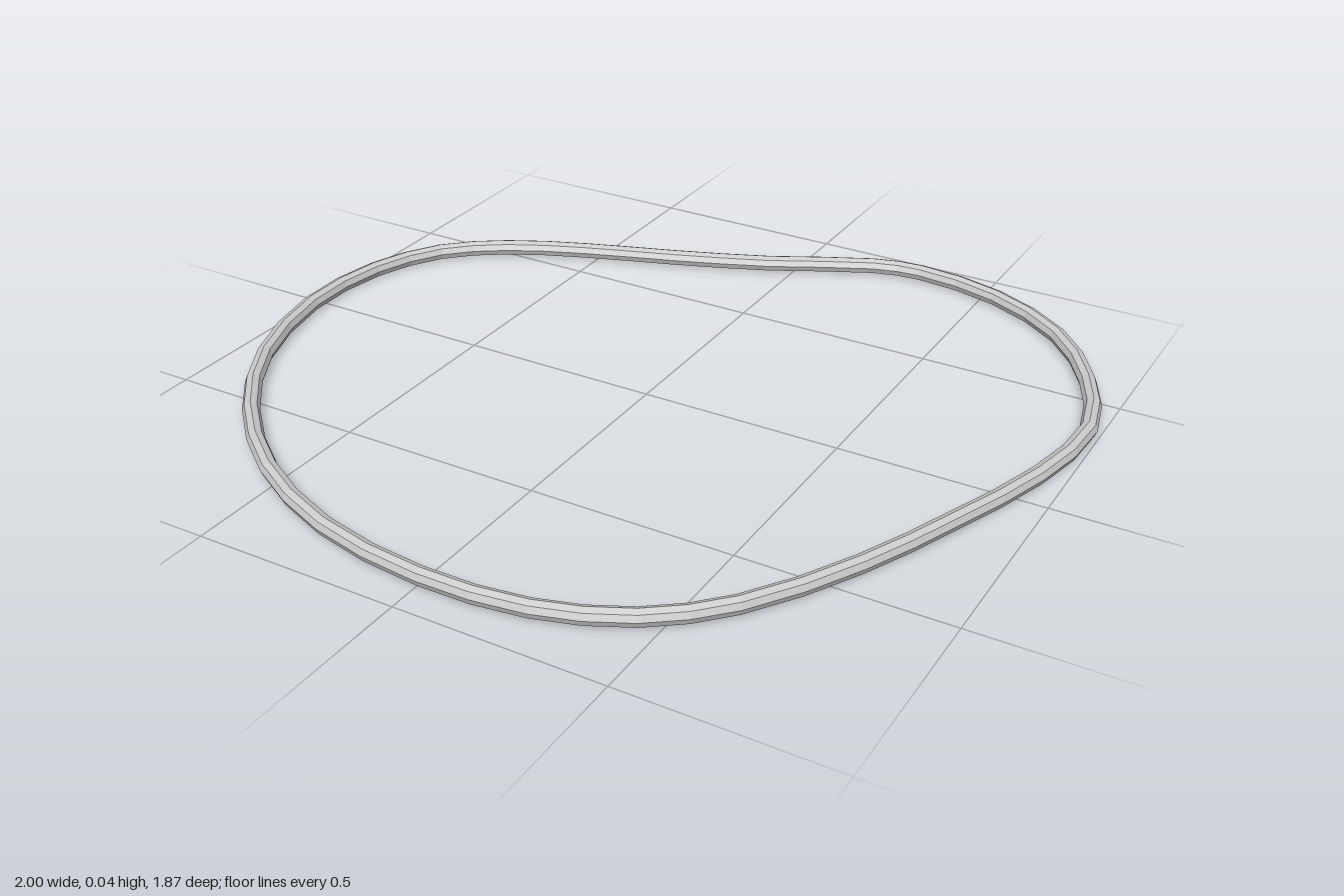
import * as THREE from 'three';

const RADIUS = 0.021;
const SIDES = 8;

// Centre line of the band as [x, z], one point for every two rings
const PATH = [
  [0.32, -0.917], [0.548, -0.874], [0.757, -0.749], [0.901, -0.553],
  [0.976, -0.334], [0.944, -0.083], [0.853, 0.179], [0.751, 0.425],
  [0.602, 0.674], [0.452, 0.81], [0.254, 0.89], [0.003, 0.909],
  [-0.281, 0.861], [-0.532, 0.741], [-0.741, 0.559], [-0.896, 0.329],
  [-0.976, 0.051], [-0.96, -0.195], [-0.874, -0.377], [-0.73, -0.495],
  [-0.532, -0.586], [-0.302, -0.668], [-0.061, -0.765], [0.19, -0.893],
];

export function createModel() {
  const group = new THREE.Group();
  group.name = 'rubberBand';

  // Closed loop lying flat on the ground
  const points = PATH.map(([x, z]) => new THREE.Vector3(x, RADIUS, z));
  const curve = new THREE.CatmullRomCurve3(points, true);
  // Step evenly between control points, so rings fall on them
  curve.getPointAt = curve.getPoint;
  curve.getTangentAt = curve.getTangent;

  const band = new THREE.Mesh(
    new THREE.TubeGeometry(curve, PATH.length * 2, RADIUS, SIDES, true),
    new THREE.MeshStandardMaterial({ color: 0xcccccc, flatShading: true })
  );
  band.name = 'band';
  group.add(band);
  return group;
}
